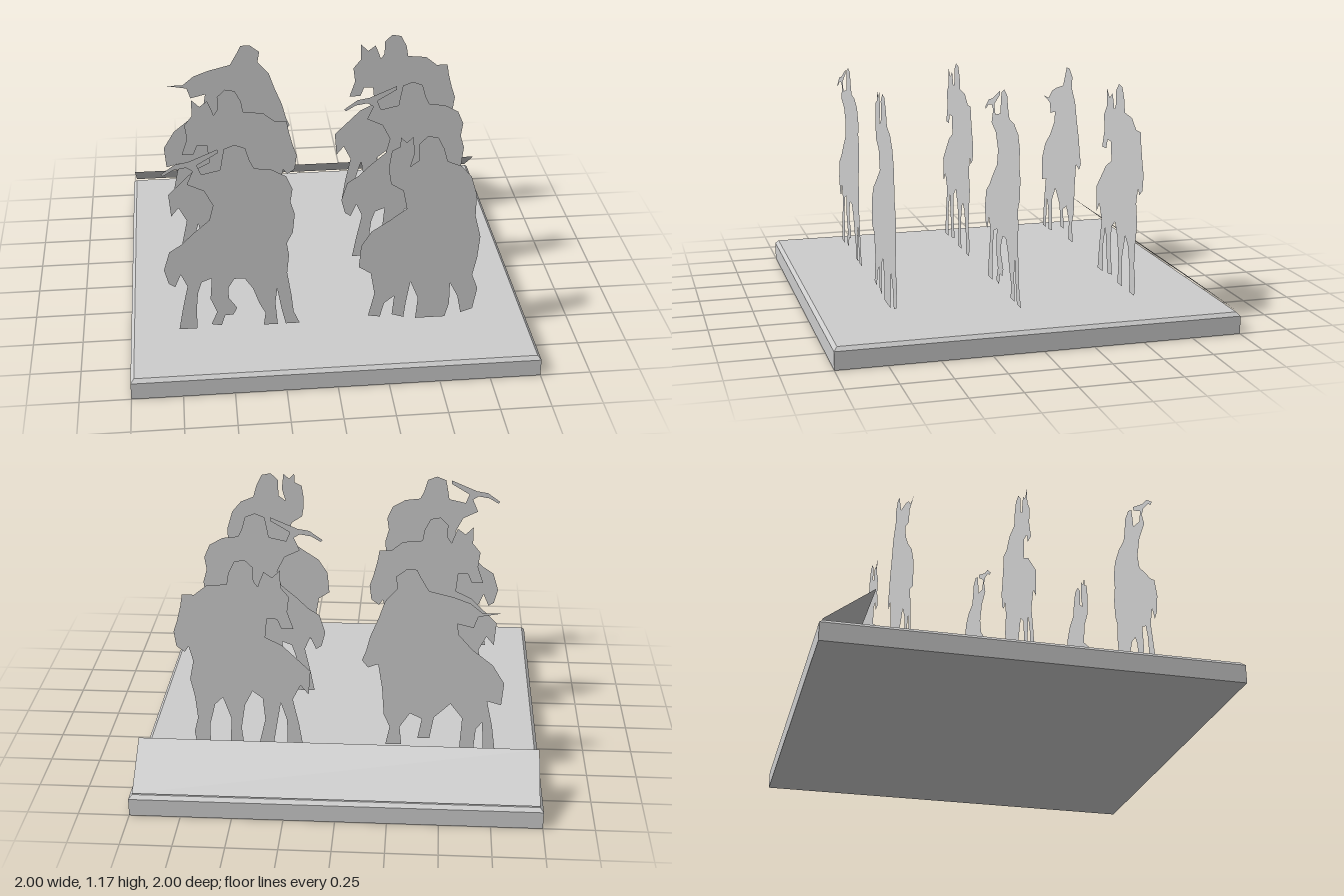
import * as THREE from 'three';

// Rider silhouettes: x, y pairs in hundredths, x relative to the rider's own centre
const axeRider = [
  -34,103, -27,108, -21,109, -7,115, -7,113, -17,107, -15,102, -6,104, -5,110, -4,115, 1,117, 6,115,
  8,108, 10,104, 18,103, 25,99, 28,92, 27,85, 29,78, 28,68, 25,62, 26,55, 25,45, 27,32, 28,22, 31,15,
  24,15, 22,24, 20,36, 19,28, 20,15, 13,15, 14,22, 11,28, 8,37, 4,43, -1,43, -4,38, -4,32, 0,26, -2,22,
  -6,22, -8,16, -13,17, -10,24, -13,32, -12,44, -17,42, -19,36, -20,26, -20,15, -29,15, -27,26, -24,40,
  -27,47, -30,40, -33,42, -35,50, -32,60, -26,64, -20,70, -12,77, -10,85, -14,93, -22,97, -19,104,
  -22,106, -28,105, -33,102,
];
const cloakedRider = [
  -18,112, -14,108, -10,111, -8,106, -7,103, -5,106, -5,113, -1,117, 4,116, 7,110, 8,104, 18,103, 24,98,
  30,98, 31,92, 33,84, 35,78, 34,70, 30,67, 28,70, 26,62, 28,52, 26,42, 25,30, 27,22, 26,15, 19,15,
  19,26, 16,38, 12,42, 8,30, 9,15, 2,15, 3,25, 1,38, -3,46, -8,42, -9,30, -6,17, -13,16, -15,28,
  -17,40, -20,30, -20,15, -28,15, -26,28, -23,42, -27,50, -31,45, -32,58, -26,64, -18,72, -10,76,
  -11,86, -16,86, -18,81, -24,81, -21,90, -22,98, -18,103,
];
const swordRider = [
  -31,92, -22,92, -16,97, -8,100, 4,103, 8,110, 10,114, 15,114, 20,110, 19,104, 25,97, 28,88, 32,78,
  34,70, 36,65, 33,61, 28,63, 26,50, 25,35, 22,28, 24,18, 16,18, 17,28, 12,36, 6,33, 8,22, 2,22,
  0,34, -8,42, -14,34, -13,16, -20,15, -21,28, -24,32, -25,15, -31,15, -29,30, -26,44, -33,42,
  -34,54, -28,64, -18,72, -11,80, -10,86, -18,84, -20,90,
];
const featherRider = [
  -19,103, -18,110, -14,112, -14,117, -11,114, -8,117, -7,108, -9,101, -5,104, -5,113, -1,117, 4,116,
  7,110, 9,103, 16,100, 21,94, 24,84, 24,72, 27,60, 26,48, 24,38, 27,30, 25,18, 19,16, 17,26, 13,34,
  13,22, 11,14, -4,14, -3,26, -7,36, -9,24, -10,15, -16,17, -15,28, -20,24, -22,16, -28,17, -25,30,
  -27,42, -33,46, -32,58, -27,66, -18,72, -10,78, -12,88, -18,92, -19,98,
];

function cutout(outline) {
  const points = [];
  for (let i = 0; i < outline.length; i += 2) {
    points.push(new THREE.Vector2(outline[i] / 100, outline[i + 1] / 100));
  }
  return new THREE.ShapeGeometry(new THREE.Shape(points));
}

export function createModel() {
  const model = new THREE.Group();
  const grey = new THREE.MeshStandardMaterial({ color: 0xcccccc, side: THREE.DoubleSide });
  grey.name = 'plain grey';

  const add = (name, geometry, x = 0, y = 0, z = 0) => {
    const mesh = new THREE.Mesh(geometry, grey);
    mesh.name = name;
    mesh.position.set(x, y, z);
    model.add(mesh);
    return mesh;
  };

  // Square base with a chamfered top edge
  const r = Math.SQRT2;
  const profile = [[0, 0], [r, 0], [r, 0.09], [r * 0.983, 0.108], [0, 0.108]]
    .map(([x, y]) => new THREE.Vector2(x, y));
  const base = new THREE.LatheGeometry(profile, 4, Math.PI / 4).toNonIndexed();
  base.computeVertexNormals();
  add('base', base);

  // Sloping panel along the back edge, facing up and back
  const rise = 0.175, run = 0.235;
  const panel = new THREE.PlaneGeometry(1.965, Math.hypot(rise, run));
  panel.rotateY(Math.PI);
  panel.rotateX(Math.atan2(run, rise));
  add('backPanel', panel, 0, 0.2025, -0.867);

  // Flat riders in two columns of three, front to back
  const columns = [
    [-0.467, [axeRider, cloakedRider, swordRider]],
    [0.467, [featherRider, axeRider, cloakedRider]],
  ];
  for (const [x, riders] of columns) {
    riders.forEach((outline, row) => add('riderCutout', cutout(outline), x, 0, 0.65 - 0.6 * row));
  }
  return model;
}
